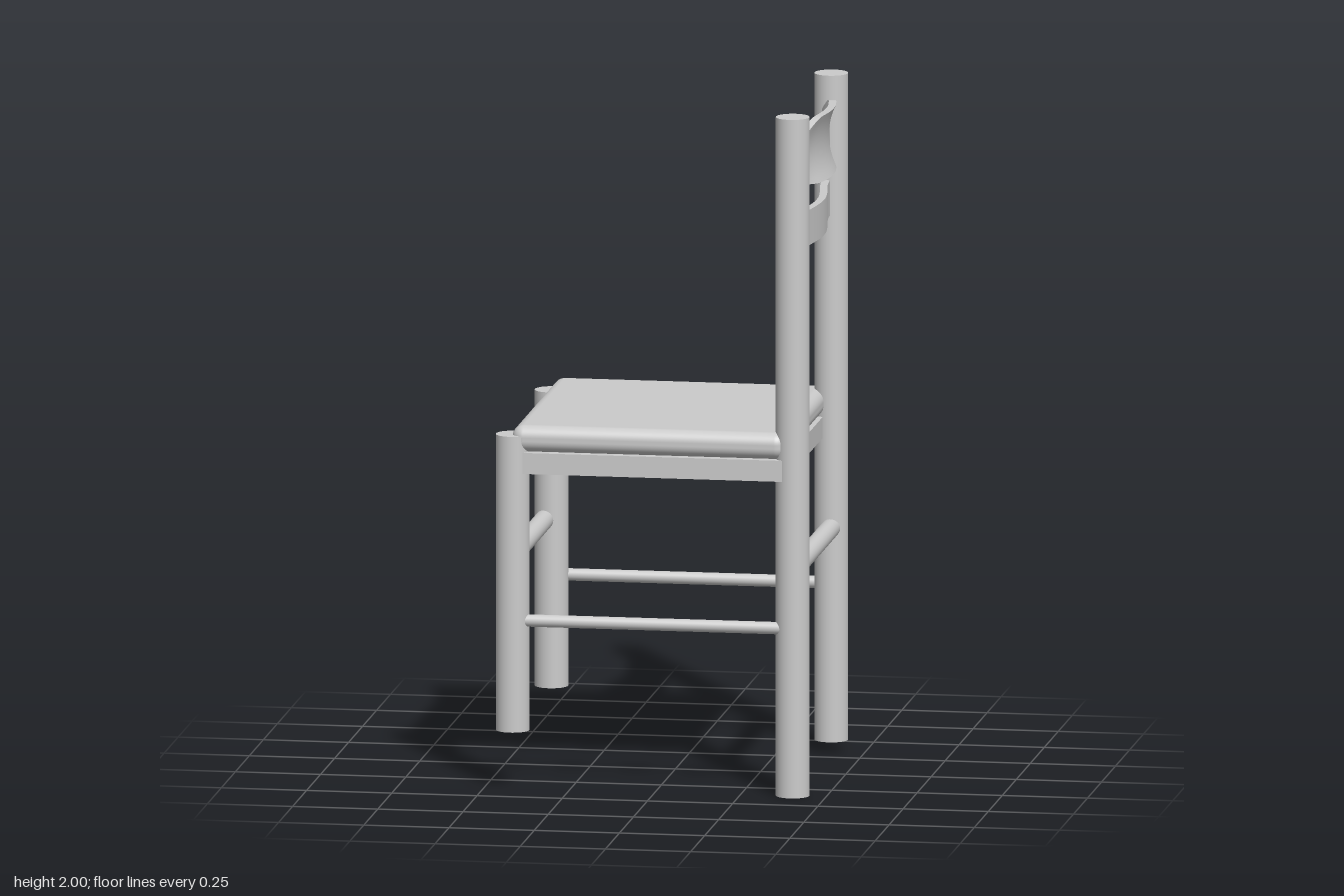
import * as THREE from 'three';
import { toCreasedNormals } from 'three/addons/utils/BufferGeometryUtils.js';
import { RoundedBoxGeometry } from 'three/addons/geometries/RoundedBoxGeometry.js';

const material = new THREE.MeshStandardMaterial({ color: 0xcccccc });

export function createModel() {
  const group = new THREE.Group();

  function add(name, geometry, x, y, z) {
    const mesh = new THREE.Mesh(geometry, material);
    mesh.name = name;
    mesh.position.set(x, y, z);
    group.add(mesh);
    return mesh;
  }

  // Upright round post from y0 to y1
  function post(name, x, z, y0, y1) {
    add(name, new THREE.CylinderGeometry(0.049, 0.049, y1 - y0, 40), x, (y0 + y1) / 2, z);
  }

  // Slat between the back posts, bent by a rule: u runs along z, v up the height (both -1..1)
  function slat(name, thickness, rule) {
    const geo = new THREE.BoxGeometry(thickness, 2, 2, 1, 10, 32);
    const pos = geo.attributes.position;
    for (let i = 0; i < pos.count; i++) {
      const [dx, y, z] = rule(pos.getZ(i), pos.getY(i));
      pos.setXYZ(i, pos.getX(i) + dx, y, z);
    }
    add(name, toCreasedNormals(geo, 0.6), 0, 0, 0);
  }

  // Tall back posts and short front legs
  post('backPostLeft', 0.401, 0.347, 0, 2);
  post('backPostRight', 0.401, -0.343, 0.035, 2);
  post('frontLegLeft', -0.419, 0.355, 0.17, 1.042);
  post('frontLegRight', -0.419, -0.338, 0.17, 1.042);

  // Seat board and padded cushion
  add('seatBoard', new THREE.BoxGeometry(0.798, 0.062, 0.797), -0.016, 0.962, -0.009);
  add('cushion', new RoundedBoxGeometry(0.804, 0.078, 0.792, 5, 0.034), -0.016, 1.032, -0.003);

  // Thin stretchers along the sides
  for (const [name, z] of [['sideStretcherLeft', 0.365], ['sideStretcherRight', -0.355]]) {
    add(name, new THREE.CylinderGeometry(0.018, 0.018, 0.8, 24), -0.009, 0.495, z).rotation.z = Math.PI / 2;
  }

  // Thicker stretchers across the front and the back
  for (const [name, x] of [['frontStretcher', -0.434], ['backStretcher', 0.405]]) {
    add(name, new THREE.CylinderGeometry(0.028, 0.028, 0.64, 24), x, 0.665, 0.005).rotation.x = Math.PI / 2;
  }

  // Gently bowed lower slat
  const bow = (u) => 0.5 + 0.5 * Math.cos(Math.PI * u);
  slat('lowerSlat', 0.022, (u, v) => [0.394 + 0.032 * bow(u), 1.64 + 0.052 * v, 0.003 + 0.31 * u]);

  // Crest slat: raised middle, bowed backward, with a dished face
  slat('crestSlat', 0.022, (u, v) => {
    const rise = THREE.MathUtils.smoothstep(1 - Math.abs(u), 0.05, 0.62);
    const top = 1.902 + 0.06 * rise;
    const bottom = 1.783 - 0.015 * rise;
    const dish = 0.022 * v * v * rise;
    return [0.394 + 0.038 * bow(u) + dish, bottom + (top - bottom) * (v + 1) / 2, 0.003 + 0.31 * u];
  });

  return group;
}
